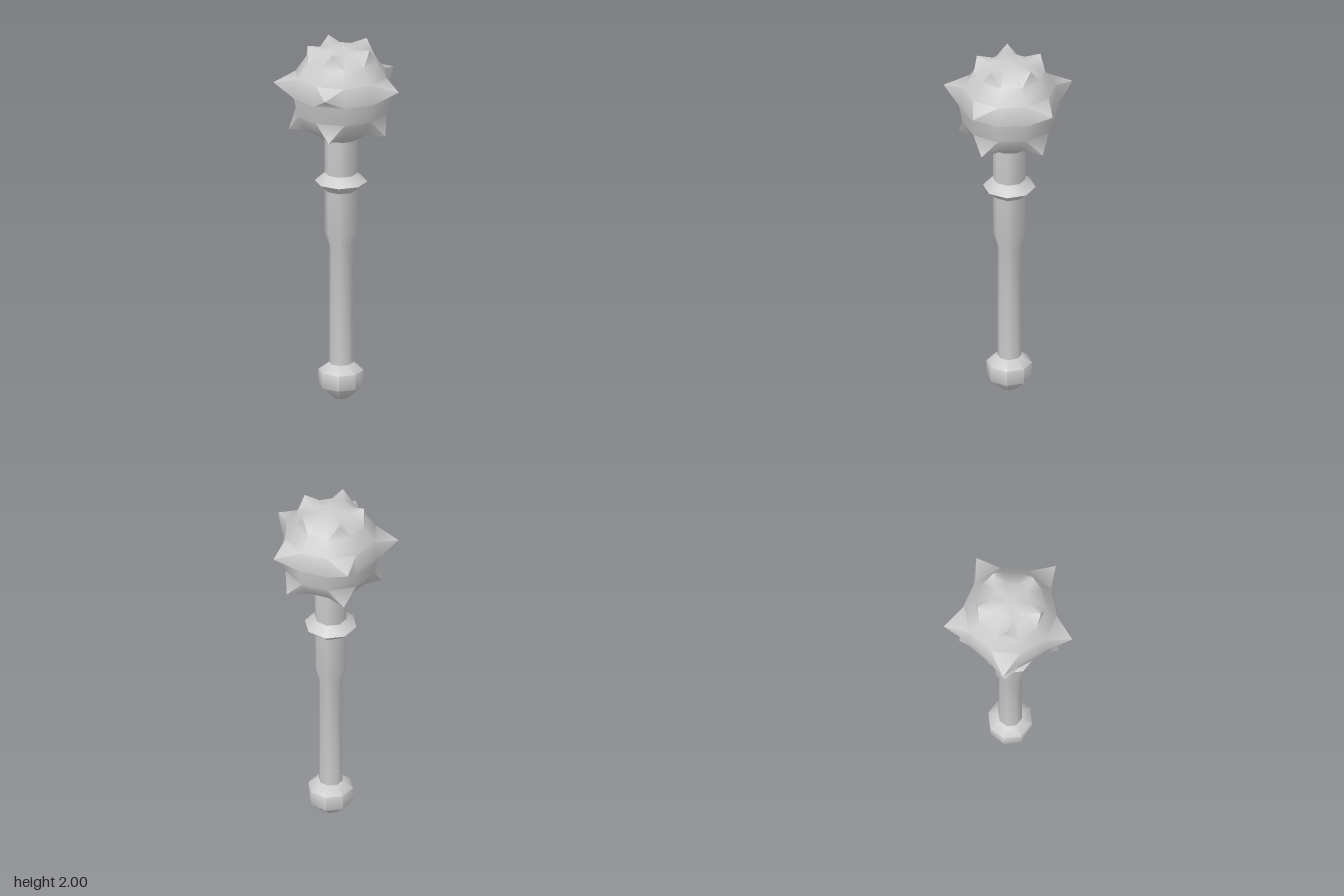
import * as THREE from 'three';
import { toCreasedNormals } from 'three/addons/utils/BufferGeometryUtils.js';

const material = new THREE.MeshStandardMaterial({ color: 0xcccccc });
const AXIS_X = -0.035; // offset that centres the uneven five-spike outline

function addMesh(group, name, geometry, crease) {
  const mesh = new THREE.Mesh(toCreasedNormals(geometry, crease), material);
  mesh.name = name;
  group.add(mesh);
}

// Eight-sided turned part from [radius, height] pairs, bottom to top
function turned(profile) {
  return new THREE.LatheGeometry(profile.map(([r, y]) => new THREE.Vector2(r, y)), 8);
}

// Ball of 10 x 8 faces; alternate faces in three bands rise into spikes
function spikedHead() {
  const sides = 10, rings = 8, radius = 0.272, centreY = 1.73;
  // band index -> spike tip [distance from axis, height]
  const tips = { 2: [0.28, 1.53], 4: [0.365, 1.797], 6: [0.18, 2.0] };
  const positions = [];
  const polar = (r, y, a) => new THREE.Vector3(r * Math.cos(a), y, -r * Math.sin(a));
  const point = (ring, side) => {
    const lat = (ring / rings - 0.5) * Math.PI;
    return polar(radius * Math.cos(lat), centreY + radius * Math.sin(lat), ((side - 0.5) / sides) * Math.PI * 2);
  };
  const tri = (...corners) => corners.forEach((p) => positions.push(p.x, p.y, p.z));

  for (let ring = 0; ring < rings; ring++) {
    for (let side = 0; side < sides; side++) {
      const next = (side + 1) % sides;
      const quad = [point(ring, side), point(ring, next), point(ring + 1, next), point(ring + 1, side)];
      const tip = tips[ring];
      if (tip && side % 2 === 0) {
        const apex = polar(tip[0], tip[1], (side / sides) * Math.PI * 2);
        quad.forEach((p, i) => tri(p, quad[(i + 1) % 4], apex));
      } else {
        if (ring > 0) tri(quad[0], quad[1], quad[2]);
        if (ring < rings - 1) tri(quad[0], quad[2], quad[3]);
        else tri(quad[0], quad[1], quad[2]);
      }
    }
  }
  // Drop collapsed triangles at the poles
  const clean = [];
  const a = new THREE.Vector3(), b = new THREE.Vector3(), c = new THREE.Vector3();
  for (let i = 0; i < positions.length; i += 9) {
    a.fromArray(positions, i); b.fromArray(positions, i + 3); c.fromArray(positions, i + 6);
    if (b.clone().sub(a).cross(c.clone().sub(a)).length() > 1e-7) clean.push(...positions.slice(i, i + 9));
  }
  // The top cap keeps one triangle per side
  const geometry = new THREE.BufferGeometry();
  geometry.setAttribute('position', new THREE.Float32BufferAttribute(clean, 3));
  return geometry;
}

export function createModel() {
  const group = new THREE.Group();
  group.name = 'spikedMace';
  const mace = new THREE.Group();
  mace.name = 'mace';
  mace.position.x = AXIS_X;
  group.add(mace);

  addMesh(mace, 'pommel', turned([[0, 0], [0.045, 0], [0.122, 0.07], [0.122, 0.155], [0.064, 0.197], [0, 0.197]]), 1.0);
  addMesh(mace, 'handle', turned([[0.065, 0.18], [0.065, 0.865], [0.088, 0.94], [0.088, 1.48]]), 0.9);
  addMesh(mace, 'collar', turned([[0.087, 1.18], [0.142, 1.228], [0.087, 1.276]]), 0.9);
  addMesh(mace, 'spikedHead', spikedHead(), 1.05);
  return group;
}
